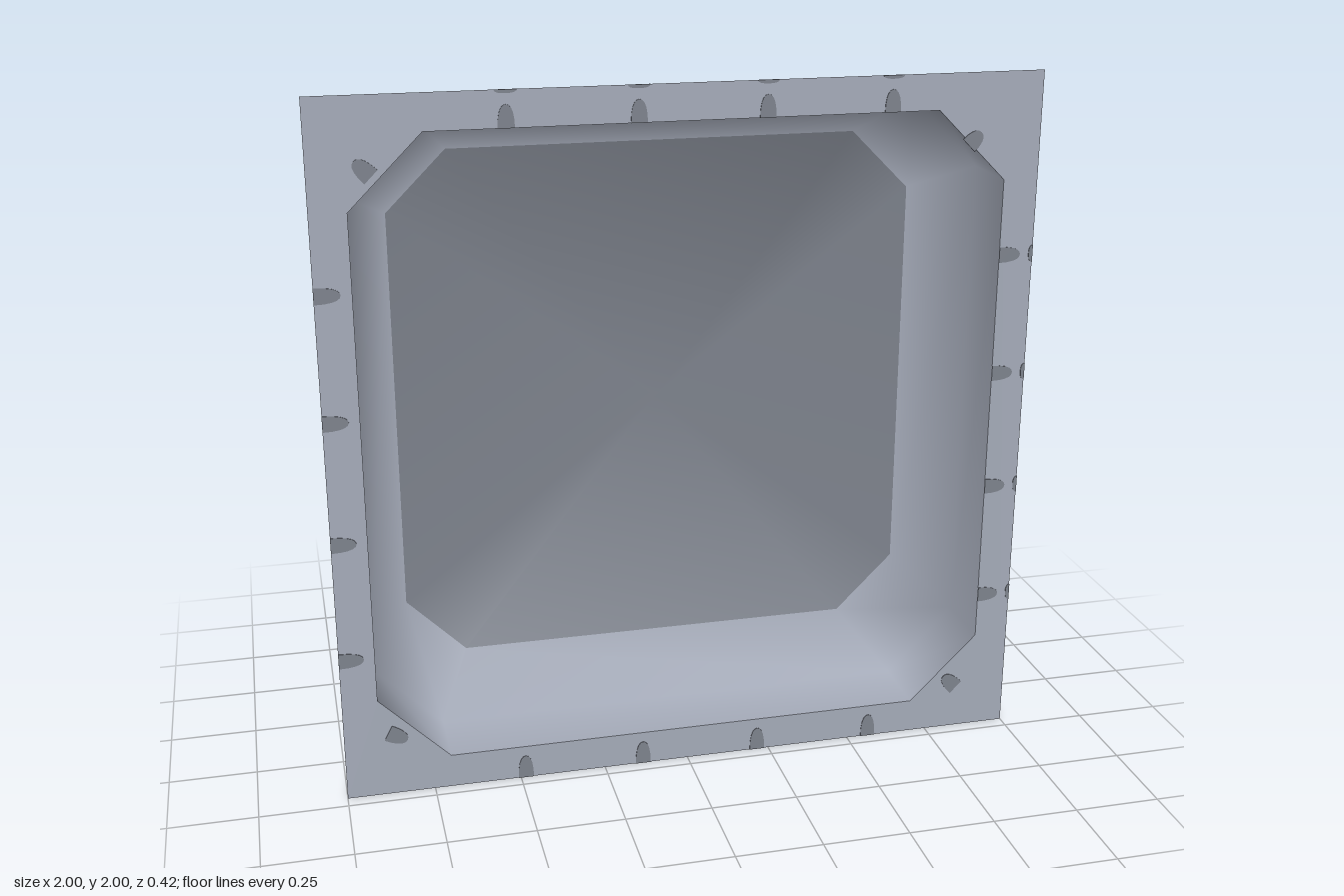
import * as THREE from 'three';

const FRONT = 0.21;

// Eight corners of a chamfered square, counterclockwise, centred on y = 1
function octagon(h, k) {
  return [[h, -k], [h, k], [k, h], [-k, h], [-h, k], [-h, -k], [-k, -h], [k, -h]]
    .map(([x, y]) => new THREE.Vector2(x, y + 1));
}

export function createModel() {
  const group = new THREE.Group();
  const steel = new THREE.MeshStandardMaterial({ name: 'pale steel', color: 0xa4aab8, side: THREE.DoubleSide });
  const grey = new THREE.MeshStandardMaterial({ name: 'dark grey', color: 0x7d828c, side: THREE.DoubleSide });

  // Square flange with a chamfered opening
  const plate = new THREE.Shape([[-1, 0], [1, 0], [1, 2], [-1, 2]].map(p => new THREE.Vector2(...p)));
  plate.holes.push(new THREE.Path(octagon(0.9, 0.7).reverse()));
  const flange = new THREE.Mesh(new THREE.ShapeGeometry(plate), steel);
  flange.name = 'flange';
  flange.position.z = FRONT;
  group.add(flange);

  // Recessed pan: straight wall, sloped wall and back panel share smooth normals
  const rings = [[0.9, 0.7, FRONT], [0.9, 0.7, 0.01], [0.775, 0.6, -0.21]];
  const positions = [], index = [];
  for (const [h, k, z] of rings) for (const p of octagon(h, k)) positions.push(p.x, p.y, z);
  positions.push(0, 1, -0.21);
  for (let r = 0; r < 2; r++) {
    for (let i = 0; i < 8; i++) {
      const a = r * 8 + i, b = r * 8 + (i + 1) % 8;
      index.push(a, a + 8, b, b, a + 8, b + 8);
    }
  }
  const wallCount = index.length;
  for (let i = 0; i < 8; i++) index.push(24, 16 + (i + 1) % 8, 16 + i);
  const panGeo = new THREE.BufferGeometry();
  panGeo.setAttribute('position', new THREE.Float32BufferAttribute(positions, 3));
  panGeo.setIndex(index);
  panGeo.computeVertexNormals();
  panGeo.addGroup(0, wallCount, 0);
  panGeo.addGroup(wallCount, index.length - wallCount, 1);
  const pan = new THREE.Mesh(panGeo, [steel, grey]);
  pan.name = 'recessedPan';
  group.add(pan);

  // Fastener marks: half ovals, thin enough to show on both flange faces
  function mark(name, x, y, angle, length, width) {
    const s = new THREE.Shape();
    s.moveTo(0, -width / 2);
    s.bezierCurveTo(length * 0.7, -width / 2, length, -width * 0.3, length, 0);
    s.bezierCurveTo(length, width * 0.3, length * 0.7, width / 2, 0, width / 2);
    const geo = new THREE.ExtrudeGeometry(s, { depth: 0.004, bevelEnabled: false, curveSegments: 5 });
    const m = new THREE.Mesh(geo, grey);
    m.name = name;
    m.position.set(x, y, FRONT - 0.002);
    m.rotation.z = angle;
    group.add(m);
  }
  const up = Math.PI / 2;
  for (let i = 0; i < 4; i++) {
    const y = 0.435 + i * 0.35, x = -0.485 + i * 0.35;
    mark('leftEdgeMark', -1, y, 0, 0.07, 0.045);
    mark('rightEdgeMark', 0.9, y, 0, 0.062, 0.045);
    mark('topEdgeMark', x, 1.9, up, 0.062, 0.045);
    mark('bottomEdgeMark', x, 0, up, 0.07, 0.045);
    // Slivers at the outer rim
    mark('rimSliver', 1, y, Math.PI, 0.012, 0.05);
    mark('rimSliver', x, 2, -up, 0.01, 0.06);
  }
  // Corner marks
  mark('cornerMark', -0.835, 1.79, up * 1.5, 0.06, 0.05);
  mark('cornerMark', 0.79, 1.8, up * 0.5, 0.05, 0.05);
  mark('cornerMark', -0.875, 0.195, -up * 0.3, 0.06, 0.05);
  mark('cornerMark', 0.845, 0.13, up * 1.5, 0.06, 0.05);

  return group;
}
